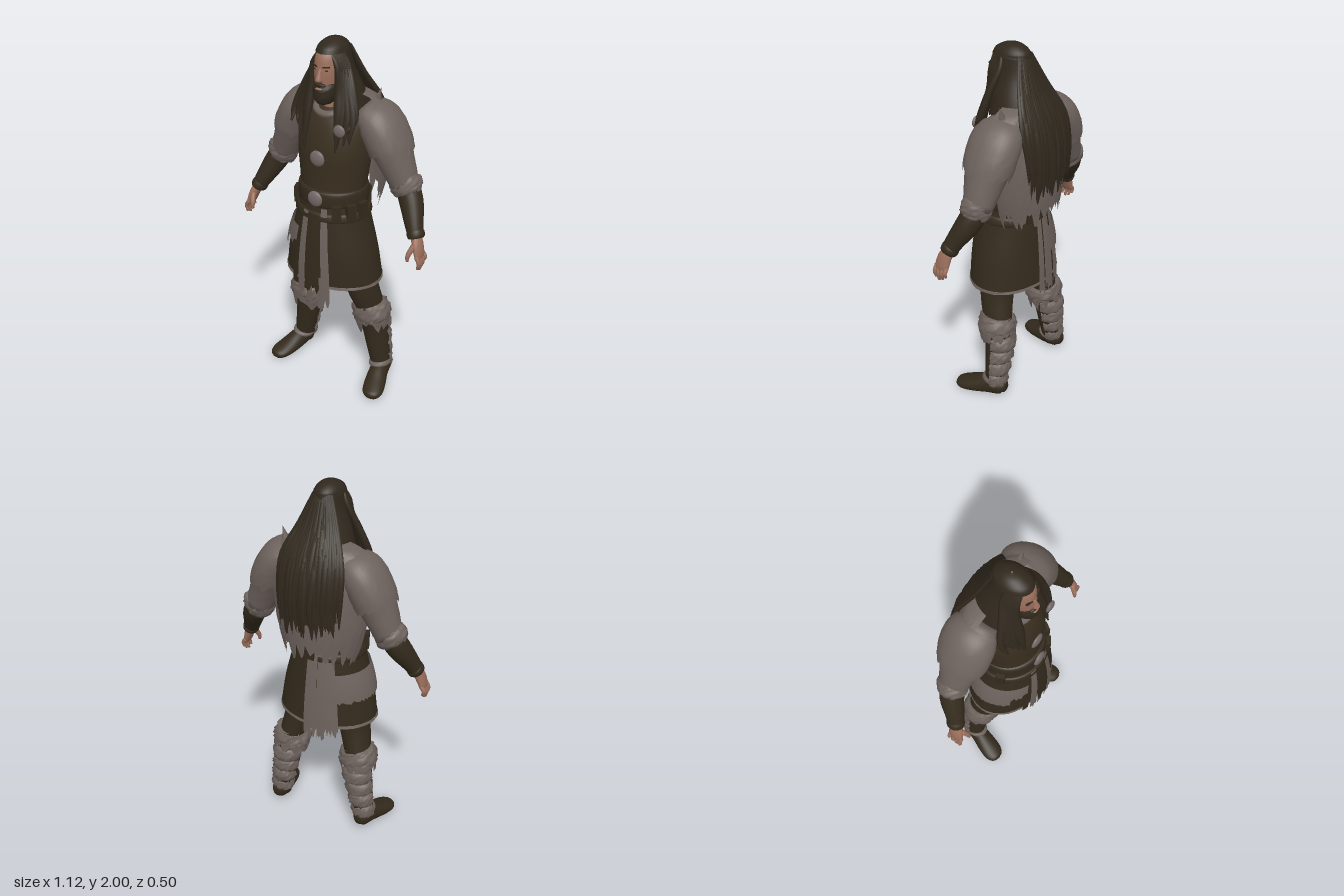
import * as THREE from 'three';

const mat = (name, color) => Object.assign(new THREE.MeshStandardMaterial({ color, side: THREE.DoubleSide }), { name });
const DEG = Math.PI / 180;
const Y = new THREE.Vector3(0, 1, 0), Z = new THREE.Vector3(0, 0, 1);

// small seeded random
let seed = 7;
const rnd = () => ((seed = (seed * 16807) % 2147483647) / 2147483647);

// Smooth loft through rings [x, y, z, sideRadius, frontRadius], listed top to bottom.
// arc: degrees, 0 = right side, 90 = front, 180 = left side, 270 = back.
// rag: uneven last edge; wob: shaggy surface; tilt: rings square to the path.
function loft(rings, { seg = 24, sub = 4, arc = null, rag = 0, wob = 0, tilt = false, ref = Z } = {}) {
  const centre = new THREE.CatmullRomCurve3(rings.map(r => new THREE.Vector3(r[0], r[1], r[2])), false, 'catmullrom');
  const radii = new THREE.CatmullRomCurve3(rings.map(r => new THREE.Vector3(r[3], r[4], 0)), false, 'catmullrom');
  const rows = (rings.length - 1) * sub, cols = arc ? seg + 1 : seg;
  const [a0, a1] = arc || [0, 360];
  const cut = Array.from({ length: cols }, () => 1 - rag * rnd());
  const pos = [], index = [];
  for (let i = 0; i <= rows; i++) {
    for (let j = 0; j < cols; j++) {
      const t = (i / rows) * cut[j];
      const axis = tilt ? centre.getTangent(t) : new THREE.Vector3(0, -1, 0);
      const f = ref.clone().addScaledVector(axis, -ref.dot(axis)).normalize();
      const s = axis.clone().cross(f);
      const r = radii.getPoint(t), k = 1 + wob * (rnd() - 0.5);
      const th = (a0 + ((a1 - a0) * j) / seg) * DEG;
      const p = centre.getPoint(t).addScaledVector(s, r.x * k * Math.cos(th)).addScaledVector(f, r.y * k * Math.sin(th));
      pos.push(p.x, p.y, p.z);
    }
  }
  for (let i = 0; i < rows; i++) for (let j = 0; j < seg; j++) {
    const n = (j + 1) % cols, a = i * cols + j, b = i * cols + n;
    index.push(a, a + cols, b, b, a + cols, b + cols);
  }
  if (!arc && !rag) { // end caps
    const top = pos.length / 3, end = rows * cols;
    const c0 = centre.getPoint(0), c1 = centre.getPoint(1);
    pos.push(c0.x, c0.y, c0.z, c1.x, c1.y, c1.z);
    for (let j = 0; j < seg; j++) {
      const n = (j + 1) % cols;
      index.push(top, j, n, top + 1, end + n, end + j);
    }
  }
  const g = new THREE.BufferGeometry();
  g.setAttribute('position', new THREE.Float32BufferAttribute(pos, 3));
  g.setIndex(index);
  g.computeVertexNormals();
  return g;
}

// Linear lookup in a table of rings by height
function ringAt(table, y) {
  let i = 0;
  while (i < table.length - 2 && y < table[i + 1][1]) i++;
  const t = (y - table[i][1]) / (table[i + 1][1] - table[i][1]);
  return table[i].map((v, k) => v + (table[i + 1][k] - v) * t);
}

export function createModel() {
  seed = 7;
  const skin = mat('skin', 0x9a6e5b), hair = mat('hair', 0x30281d), tunic = mat('tunic cloth', 0x392e1f);
  const leather = mat('dark leather', 0x332a1c), fur = mat('grey fur', 0x6d625d);
  const metal = mat('dull metal', 0x736967), dark = mat('eye dark', 0x3a2a22);
  const model = new THREE.Group();
  const add = (name, geo, m, x = 0, y = 0, z = 0) => {
    const mesh = new THREE.Mesh(geo, m);
    mesh.name = name;
    mesh.position.set(x, y, z);
    model.add(mesh);
    return mesh;
  };
  const ball = (name, m, x, y, z, rx, ry, rz) => add(name, new THREE.SphereGeometry(1, 20, 14), m, x, y, z).scale.set(rx, ry, rz);

  // Torso, skirt and belt
  add('tunicBody', loft([[0, 1.69, -.01, .07, .07], [0, 1.65, 0, .15, .105], [0, 1.58, .01, .19, .14], [0, 1.45, .02, .2, .162],
    [0, 1.3, .03, .185, .155], [0, 1.2, .035, .175, .155], [0, 1.1, .035, .185, .16]], { seg: 32 }), tunic);
  const skirt = [[0, 1.18, .035, .178, .162], [0, 1.05, .035, .205, .182], [0, .88, .035, .25, .198], [0, .71, .03, .278, .207]];
  add('skirt', loft(skirt, { seg: 36, arc: [0, 360] }), leather);
  add('skirtHem', loft([[0, .716, .03, .278, .208], [0, .7, .03, .282, .211]], { seg: 36, arc: [0, 360], wob: .015 }), fur);
  add('belt', loft([[0, 1.25, .035, .17, .15], [0, 1.235, .035, .187, .17], [0, 1.17, .035, .189, .172], [0, 1.155, .035, .175, .16]], { seg: 36 }), leather);
  add('lowerBelt', loft([[0, 1.13, .035, .19, .17], [0, 1.12, .035, .2, .182], [0, 1.09, .035, .207, .188], [0, 1.08, .035, .195, .175]], { seg: 36 }), leather);
  for (const deg of [125, 148, 170, 235, 250, 266, 20]) { // belt pouches
    const c = Math.cos(deg * DEG), s = Math.sin(deg * DEG);
    add('beltPouch', new THREE.BoxGeometry(.05, .09, .035), leather, -c * .195, 1.14, .035 + s * .178).rotation.y = Math.atan2(-c, s);
  }
  const disc = (name, x, y, z, r) => ball(name, metal, x, y, z, r, r, r * .4);
  disc('chestDisc', 0, 1.42, .182, .042);
  disc('beltDisc', 0, 1.205, .206, .043);
  disc('shoulderClasp', .12, 1.59, .168, .032);

  // Hanging cloth strips following the skirt
  const strip = (a0, a1, yTop, yBot, m, gap = .012) => {
    const rings = [0, .33, .66, 1].map(t => {
      const y = yTop + (yBot - yTop) * t, r = ringAt(skirt, Math.max(y, .7));
      return [0, y, r[2], r[3] + gap, r[4] + gap];
    });
    add('clothStrip', loft(rings, { seg: 6, arc: [a0, a1], rag: .12 }), m);
  };
  strip(70, 80, 1.13, .6, fur);
  strip(101, 111, 1.16, .58, fur);
  strip(81, 99, 1.12, .65, leather, .014);
  strip(83, 90, .74, .58, fur, .008);
  strip(96, 104, .76, .55, fur, .006);
  strip(60, 68, .78, .66, leather, .008);
  for (let i = 0; i < 5; i++) strip(261 + i * 8, 269.5 + i * 8, 1.16, .58 + .07 * rnd(), fur, .012 + .008 * (i % 2));
  // Hip pelt on the right side
  add('hipPelt', loft([[0, 1.02, .035, .225, .2], [0, .96, .035, .247, .207], [0, .9, .035, .262, .213], [0, .85, .035, .27, .216]],
    { seg: 40, arc: [-80, 40], rag: .15 }), fur);
  add('hipPeltFront', loft([[0, 1.02, .035, .225, .2], [0, .96, .035, .247, .207], [0, .89, .035, .262, .213]],
    { seg: 8, arc: [38, 64], rag: .3 }), fur);

  // Mantle over the shoulders and the cape down the back
  add('mantle', loft([[0, 1.73, -.03, .11, .09], [0, 1.695, -.04, .22, .115], [0, 1.61, -.045, .285, .135], [0, 1.5, -.045, .31, .158]],
    { seg: 48, arc: [168, 372], rag: .15, wob: .03 }), fur);
  add('cape', loft([[0, 1.68, -.045, .22, .11], [0, 1.55, -.045, .28, .142], [0, 1.4, -.045, .27, .163], [0, 1.25, -.05, .245, .162], [0, 1.08, -.05, .2, .152]],
    { seg: 48, arc: [184, 356], rag: .18, wob: .015 }), fur);
  add('neckFur', new THREE.TorusGeometry(.078, .018, 8, 24), fur, 0, 1.665, .05).rotation.x = Math.PI - 1.2;
  add('shoulderTuft', new THREE.ConeGeometry(.03, .1, 6), fur, .2, 1.71, -.06).rotation.z = -.25;

  for (const s of [1, -1]) {
    // Arms
    const limb = (name, rings, m, opt = {}) => add(name, loft(rings.map(r => [r[0] * s, ...r.slice(1)]), { tilt: true, ...opt }), m);
    limb('sleeve', [[.14, 1.655, -.04, .06, .09], [.212, 1.595, -.045, .094, .13], [.274, 1.5, -.045, .1, .128], [.322, 1.4, -.045, .088, .102], [.376, 1.28, -.048, .07, .074]], fur, { wob: .025 });
    limb('shoulderFlap', [[.165, 1.64, -.04, .076, .113], [.222, 1.59, -.045, .104, .136], [.276, 1.5, -.045, .109, .136], [.304, 1.42, -.045, .108, .122]], fur, { seg: 36, rag: .25, wob: .02 });
    limb('elbowCuff', [[.358, 1.335, -.055, .06, .06], [.366, 1.315, -.05, .08, .074], [.385, 1.275, -.043, .084, .076], [.4, 1.245, -.038, .066, .062]], fur, { seg: 28, wob: .18 });
    limb('forearm', [[.36, 1.32, -.06, .06, .06], [.42, 1.22, -.03, .062, .062], [.47, 1.12, .02, .048, .048], [.497, 1.065, .042, .038, .042]], leather);
    limb('wristBand', [[.484, 1.092, .03, .04, .042], [.488, 1.085, .034, .045, .047], [.496, 1.067, .042, .044, .046], [.5, 1.058, .045, .036, .04]], leather, { sub: 2 });
    limb('hand', [[.495, 1.075, .04, .026, .03], [.515, 1.03, .055, .024, .04], [.53, .985, .062, .018, .042], [.535, .965, .064, .012, .038]], skin);
    for (let i = 0; i < 4; i++) {
      const z = .03 + i * .022, drop = [.03, .01, 0, .012][i];
      limb('finger', [[.53, .985, z, .011, .011], [.547, .945 + drop / 2, z, .011, .011], [.54, .905 + drop, z, .007, .007]], skin, { seg: 8 });
    }
    limb('thumb', [[.507, 1.035, .08, .015, .015], [.492, .99, .108, .013, .013], [.49, .955, .114, .008, .008]], skin, { seg: 8 });

    // Legs and boots
    limb('trouserLeg', [[.11, .9, .025, .09, .1], [.14, .78, .02, .09, .1], [.172, .63, .01, .082, .095], [.205, .5, -.02, .072, .082], [.215, .42, -.035, .072, .075]], leather);
    limb('bootShaft', [[.205, .5, -.02, .076, .084], [.222, .38, -.04, .076, .074], [.242, .25, -.045, .067, .066], [.262, .13, -.05, .057, .062], [.27, .06, -.05, .05, .055]], leather);
    limb('bootFoot', [[.265, .08, -.122, .025, .025], [.268, .085, -.09, .046, .05], [.28, .072, -.01, .052, .058], [.303, .049, .07, .06, .046], [.322, .036, .13, .058, .034], [.332, .03, .165, .04, .024], [.335, .028, .178, .012, .01]], leather, { ref: Y });
    limb('kneeFur', [[.204, .525, -.02, .07, .078], [.207, .508, -.02, .098, .096], [.212, .45, -.025, .105, .1], [.216, .42, -.03, .085, .083]], fur, { seg: 30, wob: .2 });
    limb('kneeFurFringe', [[.208, .49, -.022, .096, .094], [.213, .43, -.028, .103, .098], [.22, .35, -.035, .09, .09]], fur, { seg: 36, rag: .6, wob: .06 });
    for (let i = 0; i < 4; i++) { // shaggy wraps behind the calf
      const y = .37 - i * .08, x = .224 + i * .013, r = .082 - i * .006;
      const rings = [[x, y + .05, -.05, r * .7, r * .7], [x, y + .03, -.052, r, r * .98], [x, y - .02, -.054, r * 1.04, r], [x, y - .045, -.052, r * .75, r * .75]];
      limb('calfFur', rings, fur, { seg: 18, arc: [178, 362], wob: .16, tilt: false });
    }
    limb('ankleStrap', [[.264, .128, -.04, .054, .058], [.266, .12, -.039, .06, .068], [.268, .106, -.037, .06, .07], [.27, .096, -.035, .052, .06]], fur, { sub: 2 });
  }

  // Head and face
  add('neck', new THREE.CylinderGeometry(.052, .07, .17, 20), skin, 0, 1.685, .03);
  add('head', loft([[0, 1.975, .04, .02, .03], [0, 1.94, .045, .062, .092], [0, 1.875, .05, .074, .104], [0, 1.81, .055, .069, .102],
    [0, 1.75, .065, .054, .085], [0, 1.71, .07, .03, .05]], { seg: 28 }), skin);
  add('nose', loft([[0, 1.875, .145, .009, .01], [0, 1.845, .156, .011, .014], [0, 1.82, .16, .017, .02], [0, 1.808, .152, .012, .014]], { seg: 12 }), skin);
  add('beard', loft([[0, 1.8, .085, .066, .066], [0, 1.77, .09, .066, .078], [0, 1.73, .095, .057, .077], [0, 1.7, .1, .04, .058], [0, 1.685, .105, .012, .02]], { seg: 28, wob: .05 }), hair);
  ball('moustache', hair, 0, 1.795, .154, .034, .011, .014);
  ball('lips', skin, 0, 1.777, .163, .02, .006, .009);
  for (const s of [1, -1]) {
    ball('eye', dark, s * .03, 1.867, .143, .011, .004, .005);
    const brow = add('eyebrow', new THREE.BoxGeometry(.036, .006, .008), hair, s * .032, 1.884, .145);
    brow.rotation.set(0, s * .32, s * .1);
  }

  // Hair: crown, sides, back fall and separate locks
  add('hairCrown', loft([[0, 2, .03, .004, .004], [0, 1.992, .03, .036, .046], [0, 1.968, .034, .064, .088], [0, 1.94, .036, .076, .104]], { seg: 28, rag: .02 }), hair);
  add('hairSides', loft([[0, 1.955, .03, .07, .095], [0, 1.85, .02, .09, .105], [0, 1.74, 0, .13, .135], [0, 1.64, -.02, .16, .16]], { seg: 40, arc: [132, 408], rag: .1 }), hair);
  const fall = [[0, 1.955, .03, .08, .085], [0, 1.85, .02, .13, .104], [0, 1.74, -.02, .235, .125], [0, 1.62, -.05, .28, .15], [0, 1.42, -.06, .29, .176], [0, 1.25, -.06, .29, .168]];
  add('hairBack', loft(fall, { seg: 40, arc: [236, 304], rag: .16, wob: .02 }), hair);
  for (let i = 0; i < 30; i++) {
    const th = (234 + (i * 72) / 29) * DEG, end = 1.25 + .13 * rnd() + .25 * Math.abs(Math.cos(th)) ** 2;
    const path = [0, .25, .5, .75, 1].map((t, k) => {
      const y = 1.95 + (end - 1.95) * t, r = ringAt(fall, y), w = [.008, .015, .02, .018, .003][k];
      const a = th + .04 * (rnd() - .5);
      return [-Math.cos(a) * r[3], y, r[2] + Math.sin(a) * r[4], w, w * .7];
    });
    add('backLock', loft(path, { seg: 7, tilt: true }), hair);
  }
  for (const s of [1, -1]) for (let i = 0; i < 9; i++) {
    const o = i * .01, e = .04 * (rnd() - .4), end = 1.44 + .014 * i + .1 * rnd();
    add('frontLock', loft([[s * (.02 + o * .5), 1.957, .108 - o * .7, .007, .007], [s * (.068 + o * .25), 1.885, .108 - o * .8, .014, .014], [s * (.078 + o * .7), 1.77, .113 - o * .5, .02, .018],
      [s * (.08 + o * 1.1 + e * .6), 1.64, .142 - o * .5, .022, .016], [s * (.08 + o + e), end, .175 - o * .4, .004, .004]], { seg: 8, tilt: true }), hair);
  }
  return model;
}
